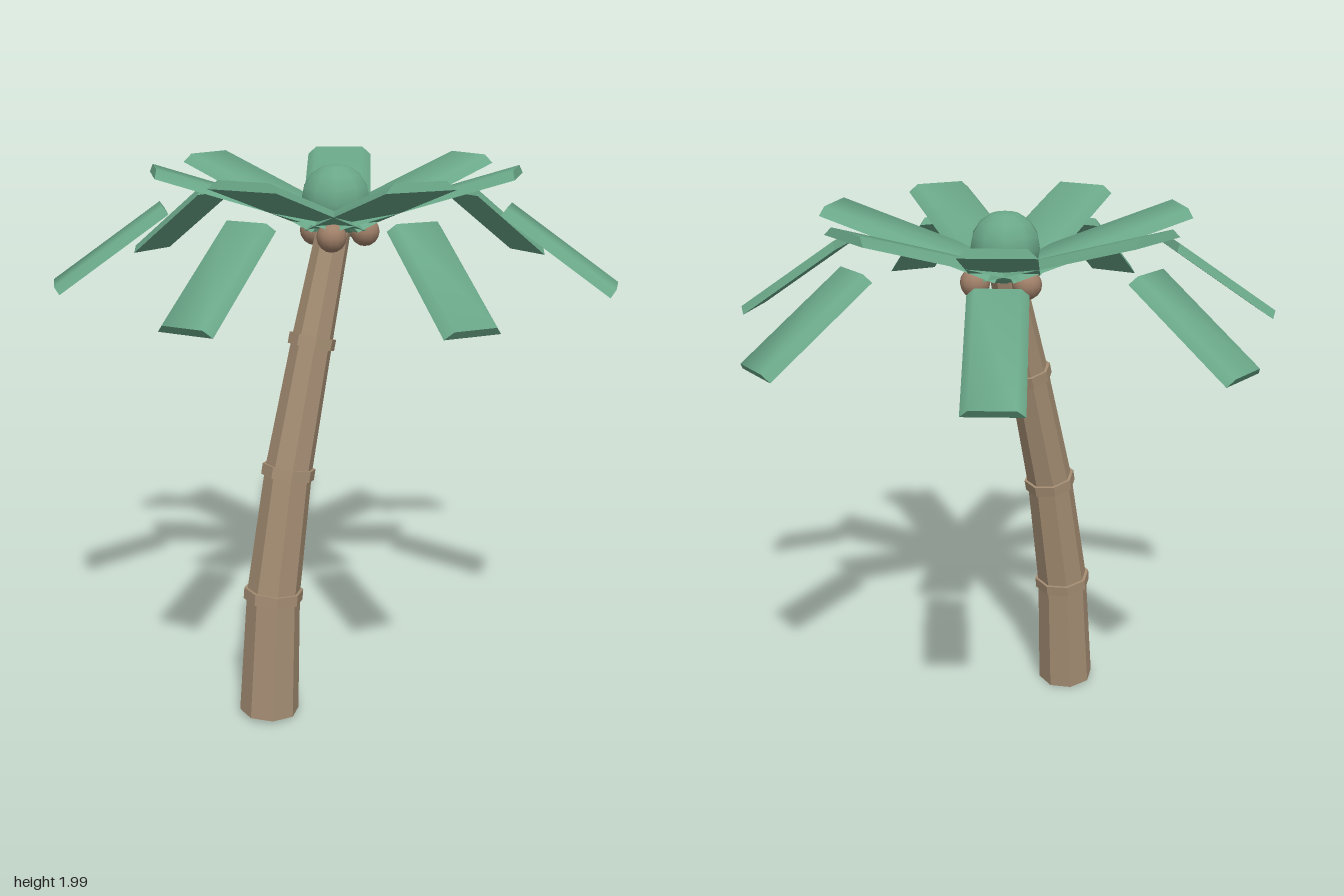
import * as THREE from 'three';
import { toCreasedNormals } from 'three/addons/utils/BufferGeometryUtils.js';

const bark = new THREE.MeshStandardMaterial({ color: 0xa38c72 });
bark.name = 'bark';
const leaf = new THREE.MeshStandardMaterial({ color: 0x6aa788 });
leaf.name = 'leafGreen';
const nut = new THREE.MeshStandardMaterial({ color: 0xa08069 });
nut.name = 'coconutBrown';

const V = (x, y, z) => new THREE.Vector3(x, y, z);
const UP = V(0, 1, 0);

function addMesh(parent, name, geometry, material) {
  const mesh = new THREE.Mesh(geometry, material);
  mesh.name = name;
  parent.add(mesh);
  return mesh;
}

// Faceted eight-sided cylinder centred between two points
function addLog(parent, name, a, b, r0, r1) {
  const geo = toCreasedNormals(new THREE.CylinderGeometry(r1, r0, a.distanceTo(b), 8), 0.3);
  const log = addMesh(parent, name, geo, bark);
  log.position.copy(a).lerp(b, 0.5);
  log.quaternion.setFromUnitVectors(UP, b.clone().sub(a).normalize());
}

// Flat-bottomed leaf plate with bevelled top edges, running from (r0, y0) to (r1, y1)
function addLeaf(parent, name, width, r0, y0, r1, y1) {
  const w = width / 2, t = 0.015;
  const section = new THREE.Shape([
    new THREE.Vector2(-w, -t), new THREE.Vector2(w, -t),
    new THREE.Vector2(w * 0.74, t), new THREE.Vector2(-w * 0.74, t),
  ]);
  const geo = new THREE.ExtrudeGeometry(section, {
    depth: Math.hypot(r1 - r0, y1 - y0), bevelEnabled: false,
  });
  const plate = addMesh(parent, name, toCreasedNormals(geo, 1.0), leaf);
  plate.position.set(0, y0, r0);
  plate.rotation.x = -Math.atan2(y1 - y0, r1 - r0);
}

export function createModel() {
  const tree = new THREE.Group();
  tree.name = 'palmTree';

  // Leaning trunk of four tapered sections with a collar at each joint
  const trunk = new THREE.Group();
  trunk.name = 'trunk';
  tree.add(trunk);
  const joints = [
    V(-0.36, 0.012, -0.025), V(-0.325, 0.47, -0.025), V(-0.245, 0.925, -0.012),
    V(-0.125, 1.385, 0.007), V(0, 1.81, 0.022),
  ];
  const radii = [0.11, 0.098, 0.086, 0.074, 0.06];
  for (let i = 0; i < 4; i++) {
    addLog(trunk, 'trunkSection', joints[i], joints[i + 1], radii[i], radii[i + 1]);
    if (i === 0) continue;
    const dir = joints[i + 1].clone().sub(joints[i - 1]).normalize().multiplyScalar(0.02);
    const r = radii[i] + 0.011;
    addLog(trunk, 'trunkCollar', joints[i].clone().sub(dir), joints[i].clone().add(dir), r, r);
  }

  // Crown hub
  const hub = addMesh(tree, 'crownHub', new THREE.SphereGeometry(0.126, 10, 8), leaf);
  hub.position.set(0, 1.87, 0.02);

  // Seven fronds, each a rising inner leaf and a separate drooping outer leaf
  for (let i = 0; i < 7; i++) {
    const frond = new THREE.Group();
    frond.name = 'frond';
    frond.position.set(0, 0, 0.02);
    frond.rotation.y = Math.PI - 0.077 - (i * 2 * Math.PI) / 7;
    addLeaf(frond, 'innerLeaf', 0.245, 0, 1.785, 0.63, 1.984);
    addLeaf(frond, 'outerLeaf', 0.192, 0.6, 1.861, 0.975, 1.602);
    tree.add(frond);
  }

  // Three coconuts around the trunk top
  for (const [x, z] of [[0.095, 0.08], [-0.087, 0.065], [0.01, -0.08]]) {
    const coconut = addMesh(tree, 'coconut', new THREE.SphereGeometry(0.053, 12, 8), nut);
    coconut.position.set(x, 1.755, z);
  }
  return tree;
}
